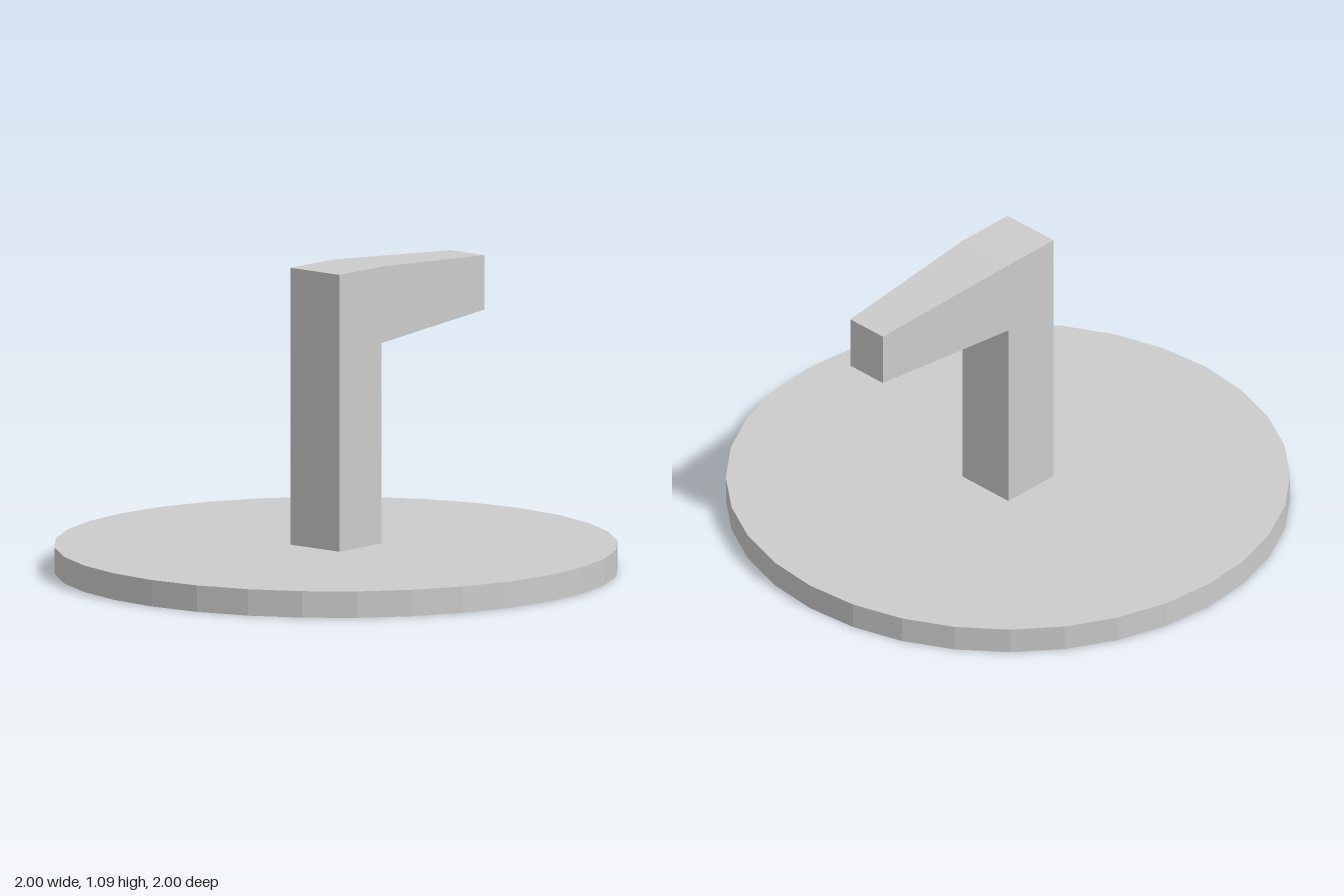
import * as THREE from 'three';

const material = new THREE.MeshStandardMaterial({ color: 0xcccccc, flatShading: true });

function addPart(group, name, geometry, x, y, z) {
  const mesh = new THREE.Mesh(geometry, material);
  mesh.name = name;
  mesh.position.set(x, y, z);
  group.add(mesh);
}

// Box along z whose back end is scaled in x and y
function taperedBox(width, height, depth, scaleX, scaleY) {
  const geometry = new THREE.BoxGeometry(width, height, depth);
  const p = geometry.attributes.position;
  for (let i = 0; i < p.count; i++) {
    if (p.getZ(i) < 0) p.setXY(i, p.getX(i) * scaleX, p.getY(i) * scaleY);
  }
  geometry.computeVertexNormals();
  return geometry;
}

export function createModel() {
  const group = new THREE.Group();
  group.name = 'wallHook';

  const baseHeight = 0.095, top = 1.09, thickness = 0.228;
  const armHeight = 0.275, armLength = 0.6;

  // Round base plate
  addPart(group, 'basePlate', new THREE.CylinderGeometry(1, 1, baseHeight, 32), 0, baseHeight / 2, 0);

  // Square post standing at the centre of the plate
  const postHeight = top - baseHeight;
  addPart(group, 'post', new THREE.BoxGeometry(thickness, postHeight, thickness), 0, baseHeight + postHeight / 2, 0);

  // Arm reaching backwards, narrowing towards its tip
  addPart(group, 'arm', taperedBox(thickness, armHeight, armLength, 0.71, 0.71),
    0, top - armHeight / 2, -(thickness + armLength) / 2);

  return group;
}
